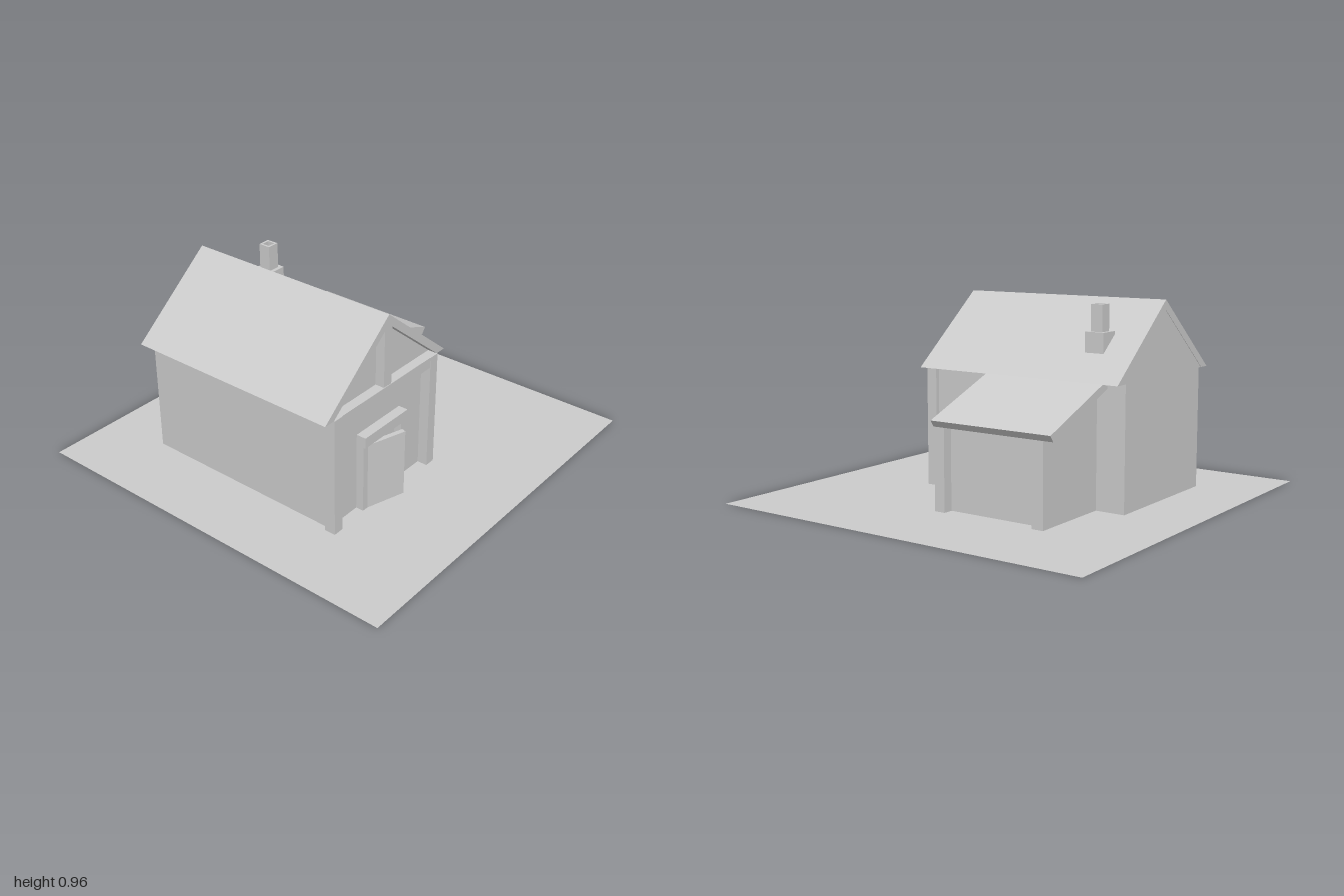
import * as THREE from 'three';

const material = new THREE.MeshStandardMaterial({ color: 0xcccccc, flatShading: true, side: THREE.DoubleSide });

function add(parent, name, geometry) {
  const mesh = new THREE.Mesh(geometry, material);
  mesh.name = name;
  parent.add(mesh);
  return mesh;
}

// Box given by its limits on each axis
function box(parent, name, [x0, x1], [y0, y1], [z0, z1]) {
  const mesh = add(parent, name, new THREE.BoxGeometry(x1 - x0, y1 - y0, z1 - z0));
  mesh.position.set((x0 + x1) / 2, (y0 + y1) / 2, (z0 + z1) / 2);
  return mesh;
}

// Outline in x and y, pulled from z0 to z1
function prism(parent, name, points, z0, z1) {
  const shape = new THREE.Shape(points.map(([x, y]) => new THREE.Vector2(x, y)));
  const geometry = new THREE.ExtrudeGeometry(shape, { depth: z1 - z0, bevelEnabled: false });
  return add(parent, name, geometry.translate(0, 0, z0));
}

function createMainHouse() {
  const house = new THREE.Group();
  house.name = 'mainHouse';
  const ridge = -0.262;

  // Walls and the gable filling under the roof
  box(house, 'walls', [-0.62, 0.097], [0, 0.605], [-0.655, 0.43]);
  prism(house, 'gableWall', [[-0.64, 0.605], [0.116, 0.605], [ridge, 0.915]], -0.656, 0.43);

  // Roof slab with level-cut eaves
  prism(house, 'roof', [
    [ridge - 0.437, 0.605], [ridge - 0.378, 0.605], [ridge, 0.915],
    [ridge + 0.378, 0.605], [ridge + 0.437, 0.605], [ridge, 0.964],
  ], -0.658, 0.478);

  // Front timber frame
  for (const side of [-1, 1]) {
    const outer = ridge + side * 0.38, inner = ridge + side * 0.325;
    box(house, 'cornerPost', [Math.min(outer, inner), Math.max(outer, inner)], [0, 0.605], [0.425, 0.482]);
  }
  box(house, 'frontBeam', [-0.59, 0.066], [0.55, 0.605], [0.425, 0.48]);
  prism(house, 'kingPost', [
    [ridge - 0.027, 0.6], [ridge + 0.027, 0.6], [ridge + 0.027, 0.895], [ridge, 0.92], [ridge - 0.027, 0.895],
  ], 0.425, 0.477);
  return house;
}

function createDoorway() {
  const doorway = new THREE.Group();
  doorway.name = 'doorway';
  box(doorway, 'leftJamb', [-0.14, -0.107], [0, 0.35], [0.425, 0.47]);
  box(doorway, 'rightJamb', [-0.422, -0.389], [0, 0.35], [0.425, 0.47]);
  box(doorway, 'lintel', [-0.422, -0.107], [0.35, 0.404], [0.425, 0.48]);

  // Door leaf standing ajar on its hinge
  const hinge = new THREE.Group();
  hinge.name = 'doorHinge';
  hinge.position.set(-0.388, 0, 0.458);
  hinge.rotation.y = -0.3;
  box(hinge, 'door', [0, 0.21], [0, 0.347], [-0.012, 0.012]);
  doorway.add(hinge);
  return doorway;
}

function createLeanTo() {
  const leanTo = new THREE.Group();
  leanTo.name = 'leanTo';
  const under = (x) => 0.566 - 0.4 * (x - 0.12);

  // Walls follow the slope of the roof
  prism(leanTo, 'leanToWalls', [[0.08, 0], [0.485, 0], [0.485, under(0.485)], [0.08, under(0.08)]], -0.504, 0.048);
  for (const [z0, z1] of [[0.042, 0.098], [-0.505, -0.445]]) {
    prism(leanTo, 'leanToPost', [[0.482, 0], [0.536, 0], [0.536, under(0.536)], [0.482, under(0.482)]], z0, z1);
  }
  prism(leanTo, 'leanToRoof', [[0.09, under(0.09)], [0.538, under(0.538)], [0.56, 0.43], [0.09, 0.618]], -0.558, 0.1);
  return leanTo;
}

function createChimney() {
  const chimney = new THREE.Group();
  chimney.name = 'chimney';
  const square = (Type, r) => new Type([[-r, -r], [r, -r], [r, r], [-r, r]].map(([x, y]) => new THREE.Vector2(x, y)));
  box(chimney, 'chimneyBase', [-0.05, 0.05], [0.65, 0.822], [-0.05, 0.05]);

  // Hollow flue
  const shape = square(THREE.Shape, 0.031);
  shape.holes.push(square(THREE.Path, 0.02));
  const flue = new THREE.ExtrudeGeometry(shape, { depth: 0.13, bevelEnabled: false });
  add(chimney, 'flue', flue.rotateX(-Math.PI / 2).translate(0, 0.82, 0));
  chimney.position.set(-0.02, 0, -0.445);
  return chimney;
}

export function createModel() {
  const model = new THREE.Group();
  model.name = 'house';
  add(model, 'groundPlate', new THREE.PlaneGeometry(2, 2).rotateX(-Math.PI / 2));
  model.add(createMainHouse(), createDoorway(), createLeanTo(), createChimney());
  return model;
}
